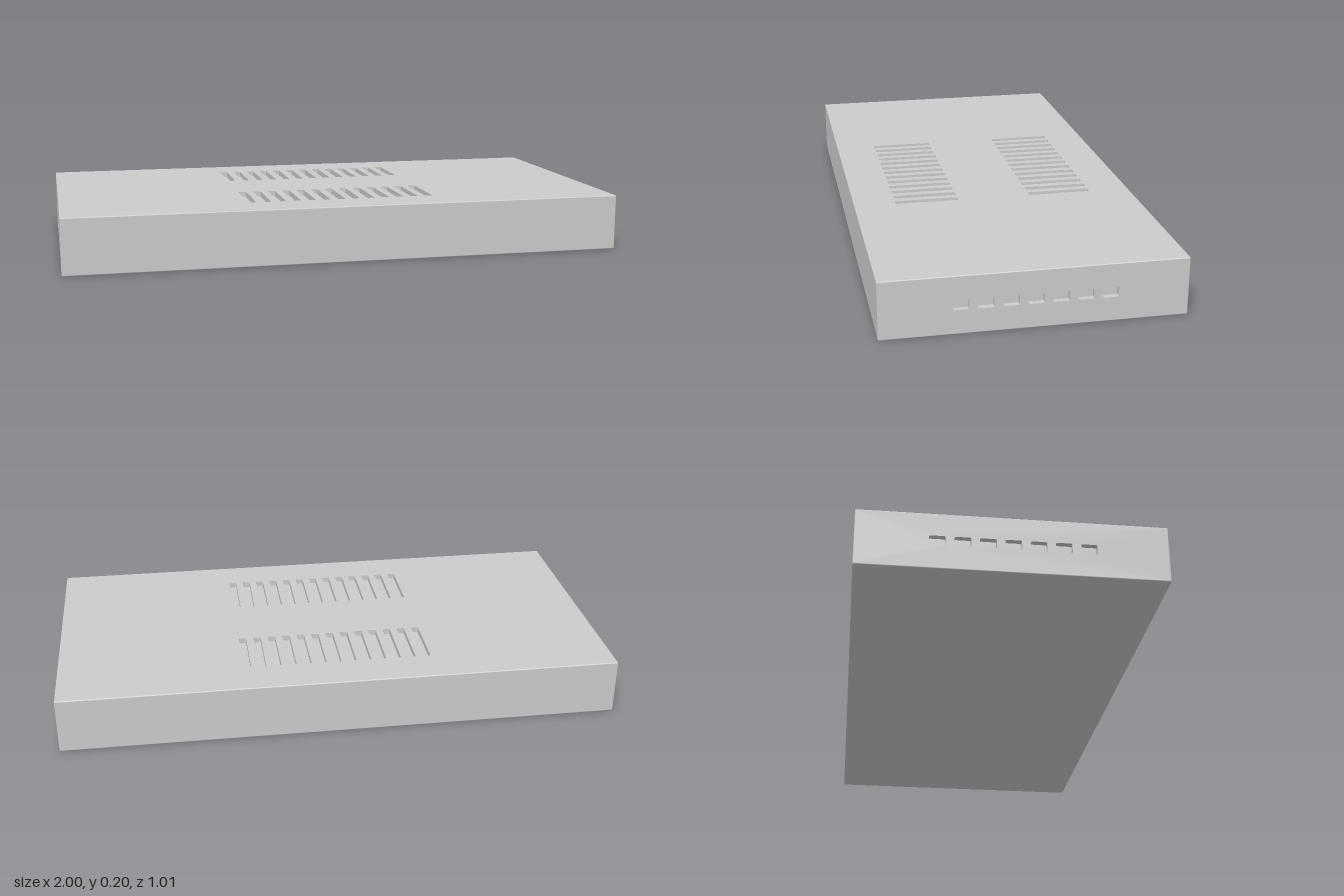
import * as THREE from 'three';
import { RoundedBoxGeometry } from 'three/addons/geometries/RoundedBoxGeometry.js';

const W = 2, H = 0.2, D = 1.01;   // overall size
const R = 0.004;                  // softened edge radius
const DEPTH = 0.02;               // depth of the recesses

const grey = new THREE.MeshStandardMaterial({ color: 0xcccccc });

// Adds a rounded rectangle, centred on (cx, cy), to a path
function roundedRect(path, cx, cy, w, h, r) {
  const x0 = cx - w / 2, x1 = cx + w / 2, y0 = cy - h / 2, y1 = cy + h / 2;
  path.moveTo(x0 + r, y0);
  path.lineTo(x1 - r, y0);
  path.absarc(x1 - r, y0 + r, r, -Math.PI / 2, 0);
  path.lineTo(x1, y1 - r);
  path.absarc(x1 - r, y1 - r, r, 0, Math.PI / 2);
  path.lineTo(x0 + r, y1);
  path.absarc(x0 + r, y1 - r, r, Math.PI / 2, Math.PI);
  path.lineTo(x0, y0 + r);
  path.absarc(x0 + r, y0 + r, r, Math.PI, Math.PI * 1.5);
  return path;
}

// Flat panel with recessed openings; its outer face lies on z = 0 and faces +z
function recessedPanel(name, w, h, openings) {
  const x = w / 2, y = h / 2;
  const shape = new THREE.Shape([
    new THREE.Vector2(-x, -y), new THREE.Vector2(x, -y),
    new THREE.Vector2(x, y), new THREE.Vector2(-x, y),
  ]);
  const group = new THREE.Group();
  group.name = name;
  for (const [cx, cy, ow, oh, r] of openings) {
    shape.holes.push(roundedRect(new THREE.Path(), cx, cy, ow, oh, r));
    const floor = new THREE.Mesh(new THREE.PlaneGeometry(ow, oh), grey);
    floor.name = 'recessFloor';
    floor.position.set(cx, cy, -DEPTH);
    group.add(floor);
  }
  const geometry = new THREE.ExtrudeGeometry(shape, { depth: DEPTH, bevelEnabled: false, curveSegments: 3 });
  geometry.translate(0, 0, -DEPTH);
  const plate = new THREE.Mesh(geometry, grey);
  plate.name = name + 'Plate';
  group.add(plate);
  return group;
}

// Casing with softened edges, left open where the recessed panels sit
function casingGeometry() {
  const source = new RoundedBoxGeometry(W, H, D, 2, R);
  const p = source.attributes.position, n = source.attributes.normal;
  const positions = [], normals = [];
  for (let i = 0; i < p.count; i += 3) {
    const corners = [i, i + 1, i + 2];
    const onTop = corners.every(k => p.getY(k) > H / 2 - 1e-5);
    const onEnd = [-1, 1].some(s => corners.every(k => s * p.getX(k) > W / 2 - 1e-5));
    if (onTop || onEnd) continue;
    for (const k of corners) {
      positions.push(p.getX(k), p.getY(k), p.getZ(k));
      normals.push(n.getX(k), n.getY(k), n.getZ(k));
    }
  }
  const geometry = new THREE.BufferGeometry();
  geometry.setAttribute('position', new THREE.Float32BufferAttribute(positions, 3));
  geometry.setAttribute('normal', new THREE.Float32BufferAttribute(normals, 3));
  return geometry;
}

export function createModel() {
  const model = new THREE.Group();
  model.name = 'flatCase';

  const casing = new THREE.Mesh(casingGeometry(), grey);
  casing.name = 'casing';
  casing.position.y = H / 2;
  model.add(casing);

  // Two rows of long cooling slots in the lid
  const slots = [];
  for (const row of [-1, 1]) {
    for (let i = -6; i <= 6; i++) slots.push([i * 0.0545, row * 0.244, 0.027, 0.225, 0.005]);
  }
  const lid = recessedPanel('ventedLid', W - 2 * R, D - 2 * R, slots);
  lid.rotation.x = -Math.PI / 2;
  lid.position.y = H;
  model.add(lid);

  // A row of small ports in each end
  const ports = [];
  for (let i = -3; i <= 3; i++) ports.push([i * 0.081, 0.001, 0.053, 0.035, 0.005]);
  for (const side of [-1, 1]) {
    const end = recessedPanel(side > 0 ? 'leftEnd' : 'rightEnd', D - 2 * R, H - 2 * R, ports);
    end.rotation.y = side * Math.PI / 2;
    end.position.set(side * W / 2, H / 2, 0);
    model.add(end);
  }
  return model;
}
